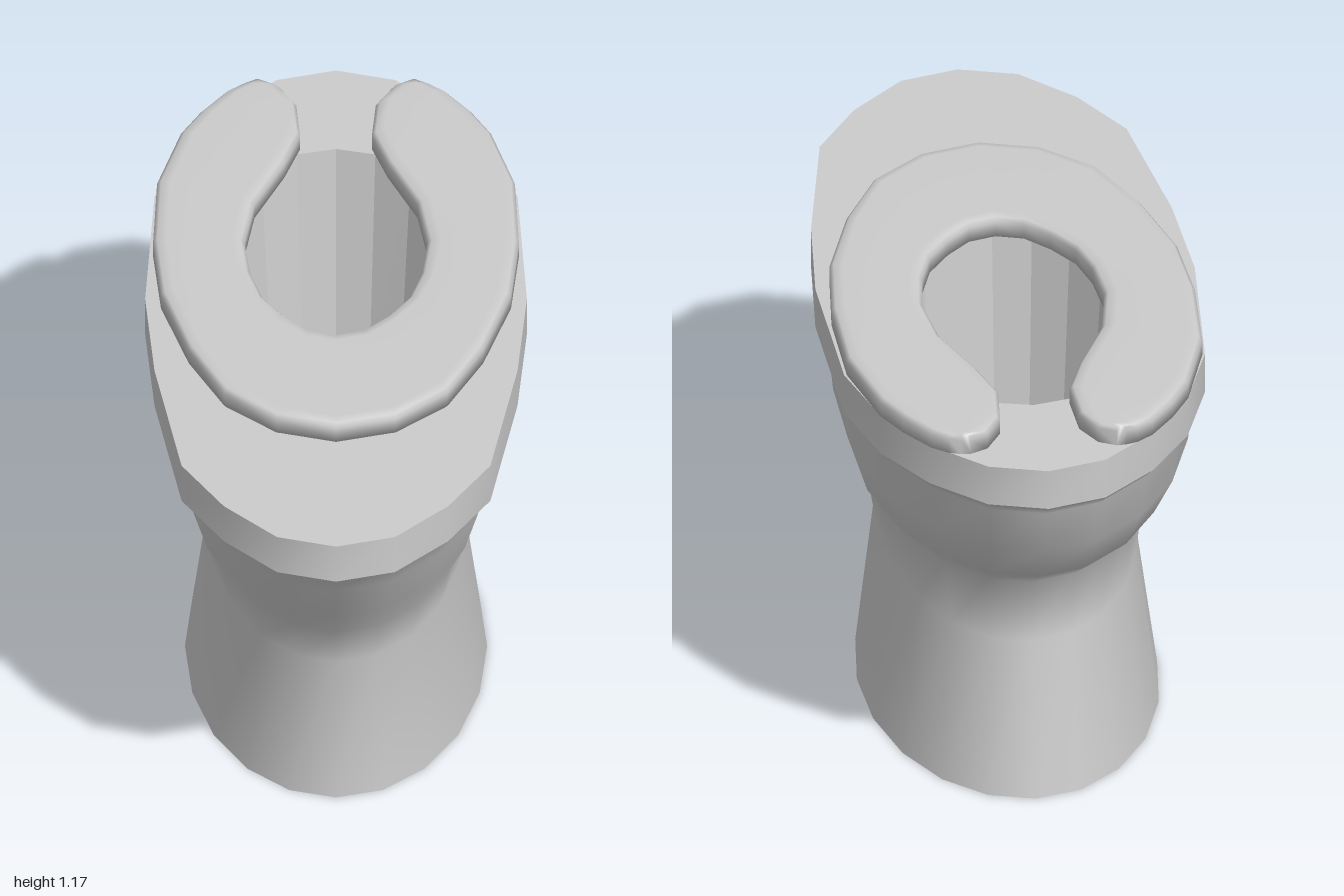
import * as THREE from 'three';

const SIDES = 20;
// Front-to-back position (1 to -1) of the rim outline at each step of a half turn
const RIM = [1, 0.96, 0.83, 0.66, 0.26, -0.04, -0.47, -0.68, -0.84, -0.96, -1];

// Oval outline; blend goes from an ellipse (0) to the rim outline (1)
function oval(y, front, back, halfWidth, blend = 0) {
  const mid = (front + back) / 2, half = (front - back) / 2;
  return Array.from({ length: SIDES }, (_, i) => {
    const a = (i / SIDES) * Math.PI * 2;
    const k = i <= SIDES / 2 ? i : SIDES - i;
    const s = THREE.MathUtils.lerp(Math.cos(a), RIM[k], blend);
    return [halfWidth * Math.sin(a), y, mid + half * s];
  });
}

// Skin between successive closed loops of equal length, optionally capped
function loft(loops, { capStart = false, capEnd = false } = {}) {
  const n = loops[0].length, pos = loops.flat(2), index = [];
  for (let r = 0; r < loops.length - 1; r++) {
    for (let i = 0; i < n; i++) {
      const a = r * n + i, b = r * n + (i + 1) % n;
      index.push(a, b, b + n, a, b + n, a + n);
    }
  }
  const last = (loops.length - 1) * n;
  for (let i = 1; i < n - 1; i++) {
    if (capStart) index.push(0, i + 1, i);
    if (capEnd) index.push(last, last + i, last + i + 1);
  }
  const g = new THREE.BufferGeometry();
  g.setAttribute('position', new THREE.Float32BufferAttribute(pos, 3));
  g.setIndex(index);
  g.computeVertexNormals();
  return g;
}

export function createModel() {
  const group = new THREE.Group();
  const smooth = new THREE.MeshStandardMaterial({ color: 0xcccccc, side: THREE.DoubleSide });
  const flat = new THREE.MeshStandardMaterial({ color: 0xcccccc, side: THREE.DoubleSide, flatShading: true });
  const add = (name, geometry, material) => {
    const mesh = new THREE.Mesh(geometry, material);
    mesh.name = name;
    group.add(mesh);
  };

  // Pedestal flaring into the bowl, open underneath
  add('pedestal', loft([
    oval(0, 0.555, -0.72, 0.38),
    oval(0.42, 0.55, -0.65, 0.325),
    oval(0.58, 0.635, -0.63, 0.35, 0.15),
    oval(0.69, 0.72, -0.79, 0.4, 0.4),
    oval(0.85, 0.825, -0.935, 0.44, 0.7),
    oval(0.97, 0.905, -0.955, 0.45, 0.9),
    oval(1.01, 1, -1, 0.48, 1),
  ]), smooth);

  // Rim band and flat deck around the opening
  const rimTop = oval(1.12, 1, -1, 0.48, 1);
  const opening = oval(1.12, 0.25, -0.67, 0.32);
  add('rim', loft([oval(1.01, 1, -1, 0.48, 1), rimTop]), smooth);
  add('deck', loft([rimTop, opening]), flat);

  // Inside of the bowl
  add('bowl', loft([opening, oval(0.45, 0.18, -0.61, 0.27)], { capEnd: true }), flat);

  // Open-backed seat: outer x, z and inner x, z from the front to one tip
  const half = [
    [0, 0.56, 0, 0.17], [0.15, 0.52, 0.07, 0.15], [0.28, 0.41, 0.13, 0.09],
    [0.37, 0.23, 0.185, 0.01], [0.44, 0, 0.215, -0.09], [0.46, -0.22, 0.23, -0.22],
    [0.45, -0.47, 0.205, -0.38], [0.39, -0.68, 0.13, -0.55], [0.34, -0.77, 0.09, -0.67],
    [0.28, -0.85, 0.1, -0.8], [0.24, -0.88, 0.14, -0.87], [0.21, -0.89, 0.185, -0.892],
  ];
  const mirrored = half.slice(1).reverse().map(([ox, oz, ix, iz]) => [-ox, oz, -ix, iz]);
  const sections = [...mirrored, ...half].map(([ox, oz, ix, iz]) => {
    const inset = Math.min(0.4, 0.035 / Math.hypot(ox - ix, oz - iz));
    const at = (t, y) => [ox + (ix - ox) * t, y, oz + (iz - oz) * t];
    return [
      at(0, 1.12), at(0, 1.16), at(inset * 0.3, 1.171), at(inset, 1.175),
      at(1 - inset, 1.175), at(1 - inset * 0.3, 1.171), at(1, 1.16), at(1, 1.12),
    ];
  });
  add('seat', loft(sections.map((s) => s.reverse()), { capStart: true, capEnd: true }), smooth);

  return group;
}
